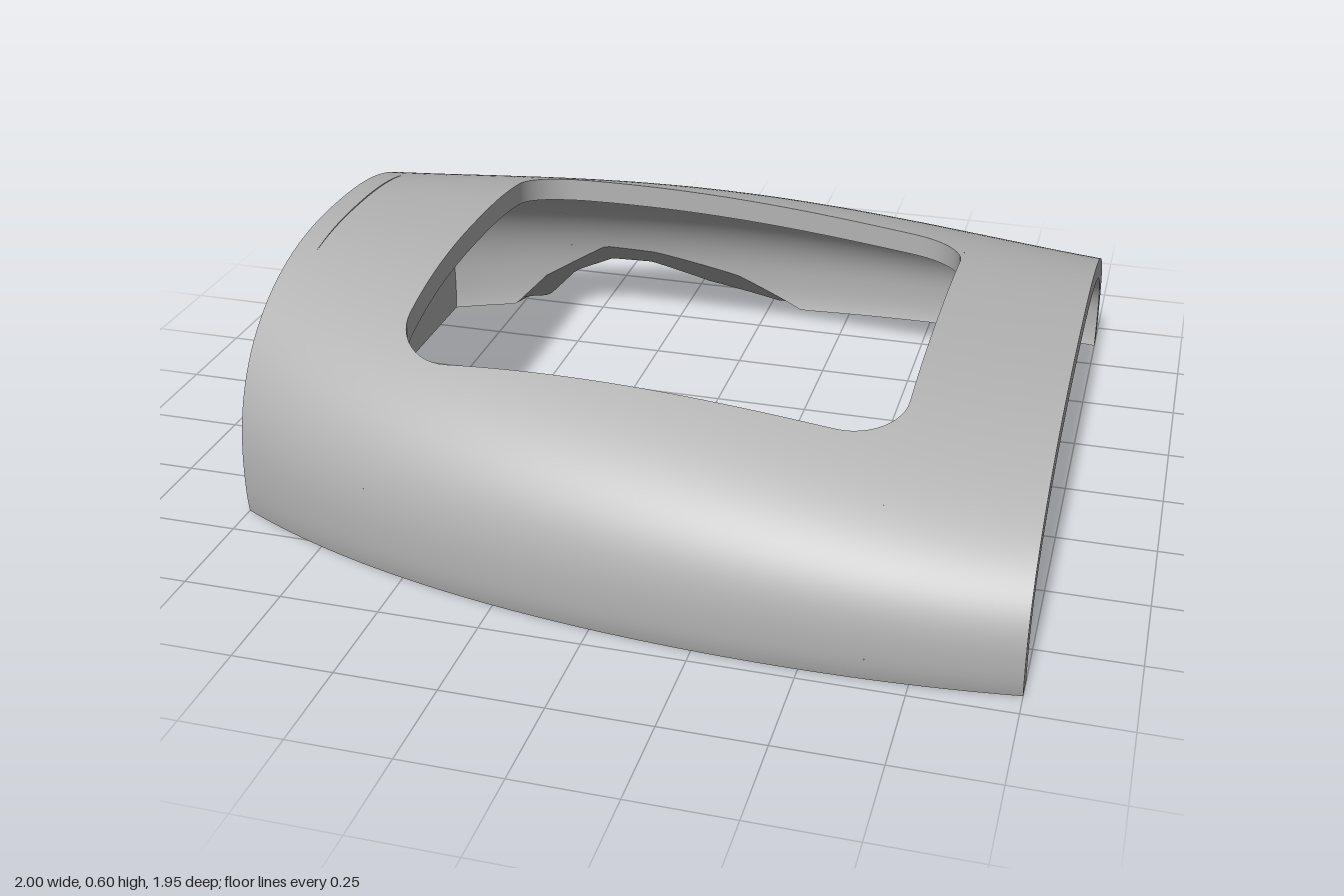
import * as THREE from 'three';

const N = 2.4, Y0 = 0.09, DROP = 0.4; // super-ellipse power, widest height, lower half height
const WALL = 0.06;
const WIN = { x0: -0.6, x1: 0.65, z0: -0.475, z1: 0.625, r: 0.15 };

// smooth curve through a few [x, value] points
const through = (pts) => (x) => pts.reduce((sum, [xi, v], i) =>
  sum + pts.reduce((p, [xj], j) => (i === j ? p : p * (x - xj) / (xi - xj)), v), 0);
const halfWidth = through([[-1, 0.665], [-0.6, 0.83], [0, 0.95], [0.6, 0.976], [1, 0.945]]);
const crown = through([[-1, 0.597], [-0.6, 0.585], [0, 0.56], [0.65, 0.48], [1, 0.443]]);

// notch in the lower edge of the back side, wider on the inside
const notchOuter = [[-0.69, 0], [-0.61, 0.08], [-0.5, 0.12], [-0.38, 0.11], [-0.2, 0.05], [0.02, 0]];
const notchInner = [[-0.77, 0], [-0.68, 0.09], [-0.5, 0.19], [-0.35, 0.17], [-0.1, 0.1], [0.1, 0]];
function notch(x, inner) {
  const p = inner ? notchInner : notchOuter;
  for (let i = 1; i < p.length; i++) {
    const [xa, ya] = p[i - 1], [xb, yb] = p[i];
    if (x >= xa && x <= xb) return ya + (yb - ya) * (x - xa) / (xb - xa);
  }
  return 0;
}

// cross-section of the outer or inner skin
const width = (x, inner) => halfWidth(x) - (inner ? WALL : 0);
const rise = (x, inner) => crown(x) - (inner ? WALL : 0) - Y0;
const spow = (v, p) => Math.sign(v) * Math.abs(v) ** p;
function skin(x, t, inner) {
  const s = spow(Math.sin(t), 2 / N);
  return new THREE.Vector3(x, Y0 + s * (s > 0 ? rise(x, inner) : DROP),
    width(x, inner) * spow(Math.cos(t), 2 / N));
}
const angleAtZ = (x, z, inner) => Math.acos(spow(z / width(x, inner), N / 2));
const angleAtY = (x, y, inner) =>
  Math.asin(spow((y - Y0) / (y > Y0 ? rise(x, inner) : DROP), N / 2));
const frontFoot = (x, inner) => angleAtY(x, 0, inner);
const backFoot = (x, inner) => Math.PI - angleAtY(x, notch(x, inner), inner);

// normal of a skin from the gradient of its implicit form
function skinNormal(p, inner) {
  const f = (x, y, z) => Math.abs(z / width(x, inner)) ** N
    + Math.abs((y - Y0) / (y > Y0 ? rise(x, inner) : DROP)) ** N;
  const e = 1e-4, { x, y, z } = p;
  const n = new THREE.Vector3(f(x + e, y, z) - f(x - e, y, z),
    f(x, y + e, z) - f(x, y - e, z), f(x, y, z + e) - f(x, y, z - e)).normalize();
  return inner ? n.negate() : n;
}

// grid surface; triangles are wound to agree with the given normals
function patch(us, vs, point, normal) {
  const P = [], M = [], index = [];
  for (const u of us) for (const v of vs) {
    const p = point(u, v);
    P.push(p);
    M.push(normal(p, u));
  }
  const add = (a, b, c) => {
    const face = P[b].clone().sub(P[a]).cross(P[c].clone().sub(P[a]));
    const side = face.dot(M[a].clone().add(M[b]).add(M[c]));
    index.push(a, ...(side < 0 ? [c, b] : [b, c]));
  };
  const w = vs.length;
  for (let i = 0; i < us.length - 1; i++) for (let j = 0; j < w - 1; j++) {
    const a = i * w + j;
    add(a, a + 1, a + w);
    add(a + 1, a + w + 1, a + w);
  }
  const g = new THREE.BufferGeometry();
  g.setAttribute('position', new THREE.Float32BufferAttribute(P.flatMap((p) => p.toArray()), 3));
  g.setAttribute('normal', new THREE.Float32BufferAttribute(M.flatMap((p) => p.toArray()), 3));
  g.setIndex(index);
  return g;
}
const range = (a, b, n) => Array.from({ length: n + 1 }, (_, i) => a + (b - a) * i / n);
const lerp = THREE.MathUtils.lerp;

// front and back limits of the window at a given x
function windowInset(x) {
  const d = WIN.r - Math.min(x - WIN.x0, WIN.x1 - x, WIN.r);
  return WIN.r - Math.sqrt(Math.max(0, WIN.r ** 2 - d ** 2));
}

// rounded outline of the window as arc centres and angles
function windowOutline() {
  const { x0, x1, z0, z1, r } = WIN, out = [];
  const c = [[x1 - r, z1 - r], [x0 + r, z1 - r], [x0 + r, z0 + r], [x1 - r, z0 + r]];
  c.forEach(([cx, cz], k) => {
    const [nx, nz] = c[(k + 1) % 4];
    for (const a of range(k * Math.PI / 2, (k + 1) * Math.PI / 2, 12)) out.push({ cx, cz, a });
    for (const s of range(0, 1, 24).slice(1)) {
      out.push({ cx: lerp(cx, nx, s), cz: lerp(cz, nz, s), a: (k + 1) * Math.PI / 2 });
    }
  });
  return out;
}

export function createModel() {
  const group = new THREE.Group();
  const grey = new THREE.MeshStandardMaterial({ color: 0xb3b3b3 });
  grey.name = 'grey';
  const add = (name, geometry) => {
    const mesh = new THREE.Mesh(geometry, grey);
    mesh.name = name;
    group.add(mesh);
    return mesh;
  };

  // stations along the window, dense round its corners
  const arc = range(0, Math.PI / 2, 12).map((a) => WIN.r * (1 - Math.cos(a)));
  const stations = [...arc.map((d) => WIN.x0 + d),
    ...range(WIN.x0 + WIN.r, WIN.x1 - WIN.r, 40).slice(1, -1),
    ...arc.map((d) => WIN.x1 - d).reverse()];

  // outer and inner skins, in four pieces round the window
  for (const inner of [false, true]) {
    const side = inner ? 'inner' : 'outer';
    const normal = (p) => skinNormal(p, inner);
    const whole = (x, v) => skin(x, lerp(frontFoot(x, inner), backFoot(x, inner), v), inner);
    add(side + 'ShellNarrowEnd', patch(range(-1, WIN.x0, 30), range(0, 1, 72), whole, normal));
    add(side + 'ShellWideEnd', patch(range(WIN.x1, 1, 16), range(0, 1, 72), whole, normal));
    add(side + 'ShellFront', patch(stations, range(0, 1, 32), (x, v) => skin(x,
      lerp(frontFoot(x, inner), angleAtZ(x, WIN.z1 - windowInset(x), inner), v), inner), normal));
    add(side + 'ShellBack', patch(stations, range(0, 1, 32), (x, v) => skin(x,
      lerp(angleAtZ(x, WIN.z0 + windowInset(x), inner), backFoot(x, inner), v), inner), normal));
  }

  // window edge
  add('windowEdge', patch(windowOutline(), [0, 1], ({ cx, cz, a }, v) => {
    const x = cx + WIN.r * Math.cos(a), z = cz + WIN.r * Math.sin(a);
    return skin(x, angleAtZ(x, z, v === 1), v === 1);
  }, (p, { a }) => new THREE.Vector3(-Math.cos(a), 0, -Math.sin(a))));

  // lower edges and open end rim
  const down = () => new THREE.Vector3(0, -1, 0);
  for (const [name, foot] of [['frontLowerEdge', frontFoot], ['backLowerEdge', backFoot]]) {
    add(name, patch(range(-1, 1, 120), [0, 1],
      (x, v) => skin(x, foot(x, v === 1), v === 1), down));
  }
  add('openEndRim', patch(range(0, 1, 72), [0, 1], (u, v) => skin(1,
    lerp(frontFoot(1, v === 1), backFoot(1, v === 1), u), v === 1),
  () => new THREE.Vector3(1, 0, 0)));

  // end wall with a round cut-out and two screw holes
  const shape = new THREE.Shape();
  range(Math.PI - frontFoot(-1), frontFoot(-1), 72).forEach((t, i) => {
    const p = skin(-1, t, false);
    if (i) shape.lineTo(p.z, p.y); else shape.moveTo(p.z, p.y);
  });
  const dip = Math.asin(0.07 / 0.195);
  shape.absarc(0, 0.07, 0.195, -dip, Math.PI + dip, false);
  for (const s of [-1, 1]) {
    shape.holes.push(new THREE.Path().absarc(s * 0.265, 0.335, 0.032, 0, Math.PI * 2, true));
  }
  const wall = add('endWall', new THREE.ExtrudeGeometry(shape,
    { depth: WALL, bevelEnabled: false, curveSegments: 32 }));
  wall.rotation.y = Math.PI / 2;
  wall.position.x = -1;

  return group;
}
